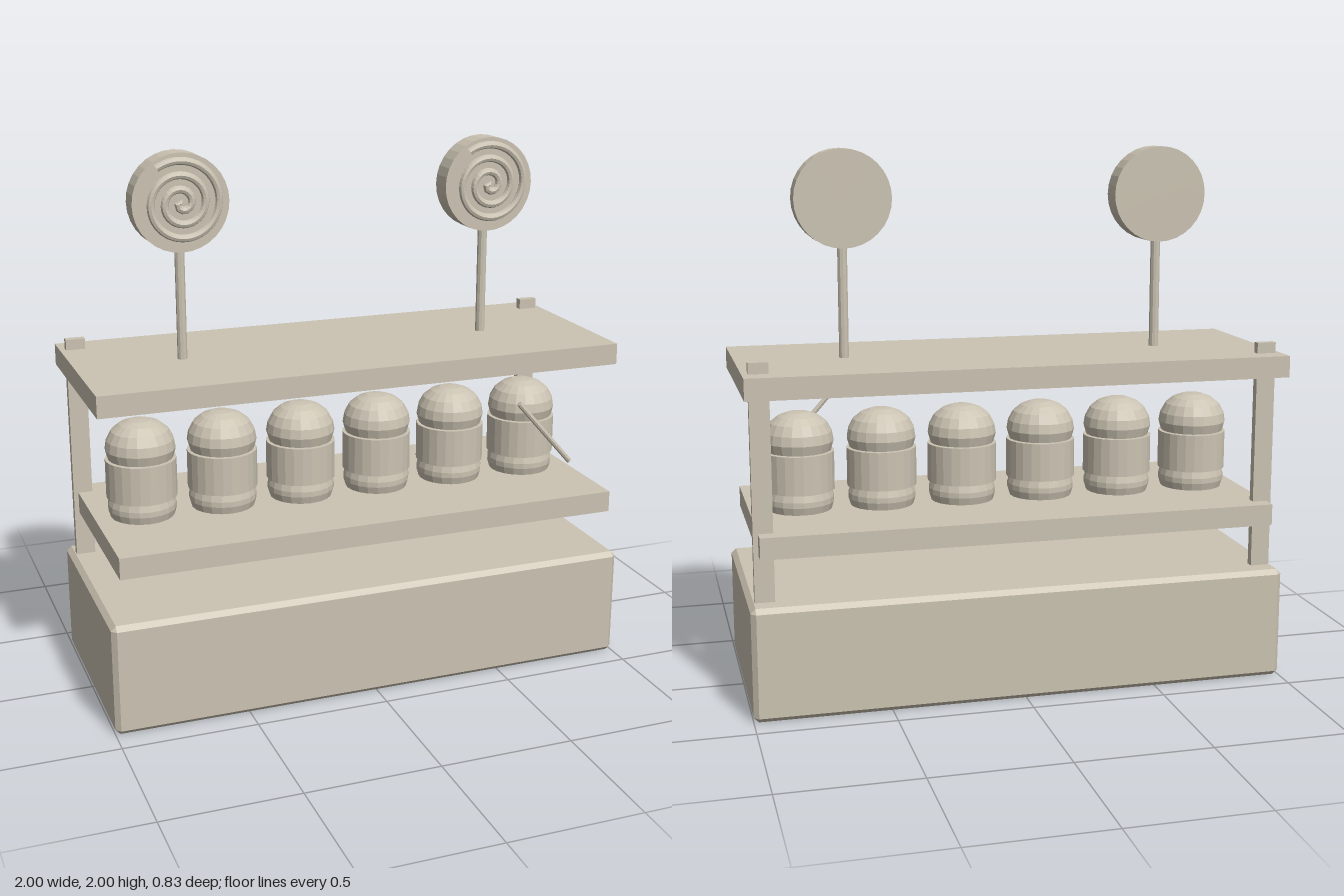
import * as THREE from 'three';
import { ConvexGeometry } from 'three/addons/geometries/ConvexGeometry.js';

const clay = new THREE.MeshStandardMaterial({ color: 0xcbc3b2, flatShading: true });
clay.name = 'warm clay';

function add(parent, name, geometry, x = 0, y = 0, z = 0) {
  const mesh = new THREE.Mesh(geometry, clay);
  mesh.name = name;
  mesh.position.set(x, y, z);
  parent.add(mesh);
  return mesh;
}

// Box with every edge cut by a flat chamfer
function chamferBox(w, h, d, c) {
  const points = [];
  for (const sx of [-1, 1]) for (const sy of [-1, 1]) for (const sz of [-1, 1]) {
    for (let axis = 0; axis < 3; axis++) {
      const inset = [c, c, c];
      inset[axis] = 0;
      points.push(new THREE.Vector3(
        sx * (w / 2 - inset[0]), sy * (h / 2 - inset[1]), sz * (d / 2 - inset[2])));
    }
  }
  return new ConvexGeometry(points);
}

// Spiral that widens evenly from the centre outwards
class Spiral extends THREE.Curve {
  getPoint(t, target = new THREE.Vector3()) {
    const angle = THREE.MathUtils.degToRad(125) + (t - 1) * Math.PI * 6;
    const r = 0.004 + 0.151 * t;
    return target.set(r * Math.cos(angle), r * Math.sin(angle), 0);
  }
}

function createJar() {
  const jar = new THREE.Group();
  jar.name = 'jar';
  const profile = (pts) => pts.map(([r, y]) => new THREE.Vector2(r, y));
  add(jar, 'jarBase', new THREE.LatheGeometry(profile(
    [[0, 0], [0.118, 0], [0.127, 0.03], [0.127, 0.05], [0.119, 0.08], [0, 0.08]]), 20));
  add(jar, 'jarBody', new THREE.CylinderGeometry(0.131, 0.131, 0.145, 24), 0, 0.15, 0);
  add(jar, 'jarDome', new THREE.LatheGeometry(profile(
    [[0, 0.215], [0.12, 0.225], [0.13, 0.26], [0.124, 0.295], [0.105, 0.33],
      [0.075, 0.354], [0.04, 0.367], [0, 0.37]]), 20));
  return jar;
}

function createLollipop() {
  const lollipop = new THREE.Group();
  lollipop.name = 'lollipop';
  add(lollipop, 'lollipopStick', new THREE.CylinderGeometry(0.018, 0.018, 0.42, 10), 0, 1.44, -0.04);
  const disc = new THREE.CylinderGeometry(0.178, 0.178, 0.09, 32).rotateX(Math.PI / 2);
  add(lollipop, 'lollipopDisc', disc, 0, 1.82, -0.04);
  add(lollipop, 'lollipopSpiral', new THREE.TubeGeometry(new Spiral(), 100, 0.014, 8), 0, 1.82, 0.014);
  return lollipop;
}

export function createModel() {
  const stall = new THREE.Group();
  stall.name = 'sweetStall';

  // Counter, shelf and roof board
  add(stall, 'counter', chamferBox(2, 0.42, 0.826, 0.018), 0, 0.21, 0);
  add(stall, 'shelf', new THREE.BoxGeometry(1.92, 0.08, 0.79), 0, 0.632, 0.005);
  add(stall, 'roofBoard', new THREE.BoxGeometry(2, 0.08, 0.745), 0, 1.2, -0.041);

  // Rear posts and lollipops on both sides
  for (const side of [-1, 1]) {
    add(stall, 'post', new THREE.BoxGeometry(0.072, 0.87, 0.03), side * 0.942, 0.845, -0.316);
    const lollipop = createLollipop();
    lollipop.position.x = side * 0.6;
    stall.add(lollipop);
  }

  // Row of jars on the shelf
  for (let i = 0; i < 6; i++) {
    const jar = createJar();
    jar.position.set(-0.78 + i * 0.31, 0.67, 0);
    stall.add(jar);
  }

  // Slanted rod in front of the jars
  const rod = add(stall, 'slantedRod', new THREE.CylinderGeometry(0.01, 0.01, 0.33, 8), 0.667, 0.945, 0.4);
  rod.rotation.z = Math.atan2(0.22, 0.25);
  return stall;
}
